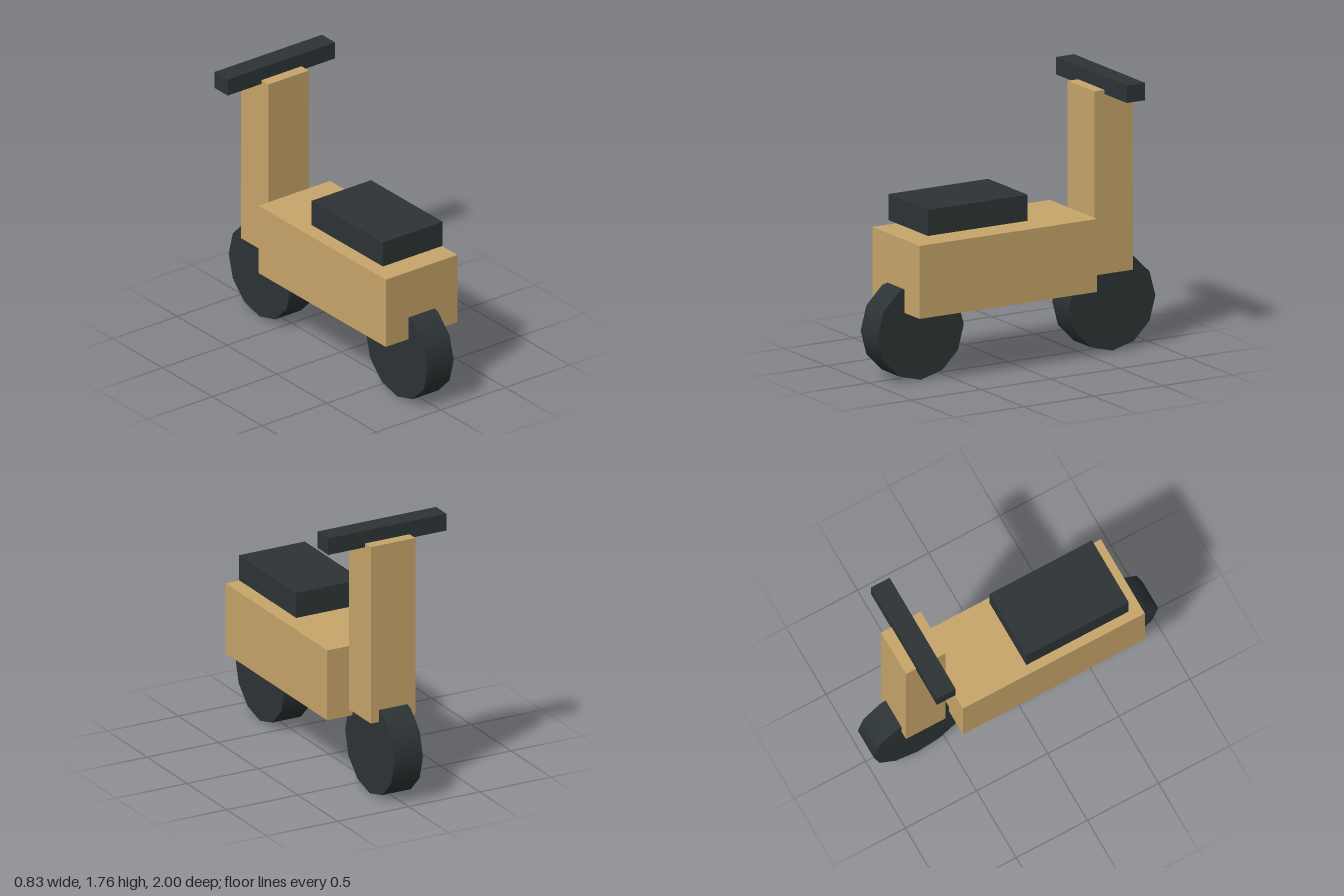
import * as THREE from 'three';

export function createModel() {
  const group = new THREE.Group();
  const tan = new THREE.MeshStandardMaterial({ color: 0xc9a66b });
  tan.name = 'tan paint';
  const dark = new THREE.MeshStandardMaterial({ color: 0x2d3436 });
  dark.name = 'dark rubber';

  const add = (name, geometry, material, y, z) => {
    const mesh = new THREE.Mesh(geometry, material);
    mesh.name = name;
    mesh.position.set(0, y, z);
    group.add(mesh);
  };

  // Box given by width and its y and z ranges
  const box = (name, material, w, y0, y1, z0, z1) =>
    add(name, new THREE.BoxGeometry(w, y1 - y0, z1 - z0), material, (y0 + y1) / 2, (z0 + z1) / 2);

  // Body, steering column, seat and handlebar
  box('body', tan, 0.555, 0.44, 0.902, -0.472, 0.807);
  box('steeringColumn', tan, 0.312, 0.51, 1.676, -0.804, -0.526);
  box('seat', dark, 0.463, 0.944, 1.109, 0, 0.719);
  box('handlebar', dark, 0.832, 1.65, 1.76, -0.732, -0.6);

  // Twelve-sided wheels with the axle along x
  const wheel = new THREE.CylinderGeometry(0.31, 0.31, 0.2, 12).rotateZ(Math.PI / 2);
  add('seatWheel', wheel, dark, 0.31, 0.69);
  add('steeringWheel', wheel, dark, 0.31, -0.69);

  return group;
}
